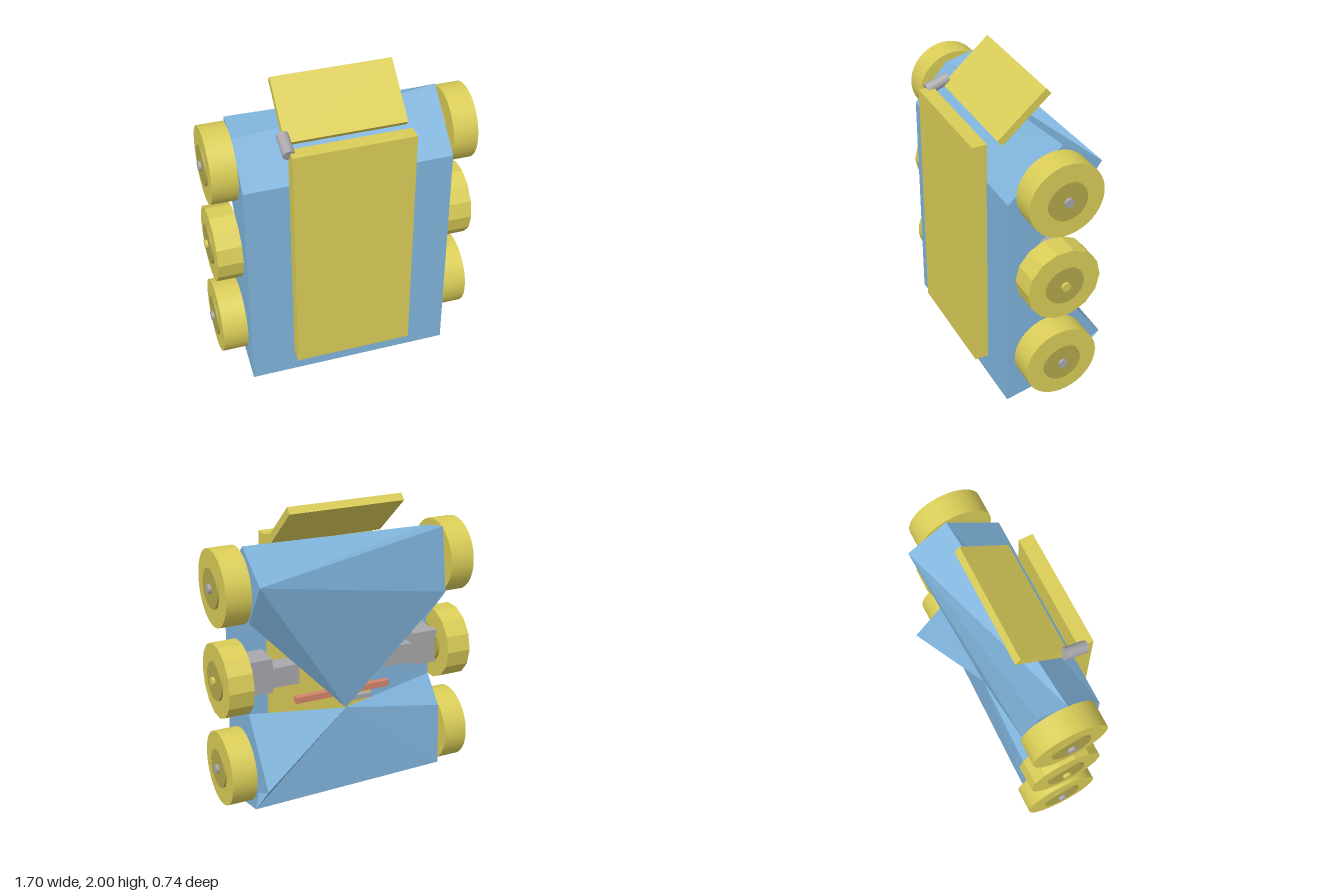
import * as THREE from 'three';

const mat = (name, color, side = THREE.FrontSide) => {
  const m = new THREE.MeshStandardMaterial({ color, side });
  m.name = name;
  return m;
};

// Gives every face its own normal
function faceted(geometry) {
  const g = geometry.index ? geometry.toNonIndexed() : geometry;
  g.computeVertexNormals();
  return g;
}

export function createModel() {
  const model = new THREE.Group();
  model.name = 'rover';
  const yellow = mat('yellow', 0xdacd58);
  const olive = mat('olive', 0xb3a84b);
  const blue = mat('blue', 0x80b4dc, THREE.DoubleSide);
  const grey = mat('grey', 0xa8a8ac);
  const orange = mat('orange', 0xd4846c);

  const add = (name, geometry, material, x, y, z, parent = model) => {
    const mesh = new THREE.Mesh(geometry, material);
    mesh.name = name;
    mesh.position.set(x, y, z);
    parent.add(mesh);
    return mesh;
  };
  const box = (name, w, h, d, material, x, y, z) =>
    add(name, new THREE.BoxGeometry(w, h, d), material, x, y, z);

  // Hull: two notched side walls joined by broad facets meeting at a pinched point
  const left = [[0, 0.28], [1.48, 0.28], [1.785, -0.06], [1.61, -0.32], [1.33, -0.13],
    [1.15, 0.08], [0.72, -0.08], [0.32, -0.37], [0.24, -0.21], [0.09, -0.15]]
    .map(([y, z]) => new THREE.Vector3(0.645, y, z));
  const right = [[0, 0.28], [1.48, 0.28], [1.72, 0.06], [1.76, -0.13], [1.35, -0.19],
    [1.1, 0.04], [0.72, 0], [0.55, -0.15], [0.14, -0.17]]
    .map(([y, z]) => new THREE.Vector3(-0.652, y, z));
  const pinch = new THREE.Vector3(0.02, 0.67, -0.15);
  const points = [];
  const face = (...c) => {
    for (let i = 1; i < c.length - 1; i++) points.push(c[0], c[i], c[i + 1]);
  };
  for (const [wall, flip] of [[left, false], [right, true]]) {
    const outline = wall.map((p) => new THREE.Vector2(p.z, p.y));
    for (const [a, b, c] of THREE.ShapeUtils.triangulateShape(outline, [])) {
      const t = [wall[a], wall[b], wall[c]];
      const n = t[1].clone().sub(t[0]).cross(t[2].clone().sub(t[0]));
      if ((n.x < 0) !== flip) t.reverse();
      face(...t);
    }
  }
  const L = left, R = right;
  face(R[0], L[0], L[1], R[1]); // front
  face(R[1], L[1], L[2], R[2]); // sloping roof
  face(R[2], L[2], L[3], R[3]); // roof behind the ridge
  face(L[3], R[4], R[3]); // upper back
  face(L[3], pinch, R[4]);
  face(L[3], L[4], pinch);
  face(L[6], L[7], pinch); // lower back
  face(L[7], L[9], pinch);
  face(L[9], R[8], pinch);
  face(R[8], R[7], pinch);
  face(R[7], R[6], pinch);
  face(L[0], R[0], R[8], L[9]); // underside
  add('hull', faceted(new THREE.BufferGeometry().setFromPoints(points)), blue, 0, 0, 0);

  // Front panel, tilted flap and its hinge
  box('frontPanel', 0.75, 1.58, 0.092, yellow, 0, 0.942, 0.322);
  box('flap', 0.75, 0.05, 0.405, yellow, 0, 1.845, 0.04).rotation.x = 0.71;
  add('hinge', new THREE.CylinderGeometry(0.037, 0.037, 0.15, 20), grey, -0.38, 1.742, 0.243)
    .rotation.x = -1.25;

  // Wheels: three on each side, the middle pair coarser
  for (const side of [-1, 1]) {
    [0.35, 0.945, 1.535].forEach((y, i) => {
      const middle = i === 1;
      const wheel = new THREE.Group();
      wheel.name = (side > 0 ? 'left' : 'right') + ['Lower', 'Middle', 'Upper'][i] + 'Wheel';
      wheel.position.set(0, y, 0);
      const disc = (name, r, x0, x1, material, sides) => {
        const g = new THREE.CylinderGeometry(r, r, x1 - x0, sides);
        g.rotateZ(Math.PI / 2);
        add(name, middle && name === 'tyre' ? faceted(g) : g, material,
          side * (x0 + x1) / 2, 0, 0, wheel);
      };
      disc('tyre', 0.237, 0.662, 0.82, yellow, middle ? 14 : 40);
      disc('hub', 0.124, 0.645, 0.832, olive, 32);
      disc('axle', 0.029, 0.6, 0.85, middle ? yellow : grey, middle ? 8 : 20);
      model.add(wheel);
    });

    // Stepped mounts for the middle wheels
    box('outerMount', 0.17, 0.22, 0.18, grey, side * 0.57, 0.95, 0);
    box('innerMount', 0.2, 0.13, 0.13, grey, side * 0.4, 0.92, 0);
  }

  // Rods in the waist
  box('crossRod', 0.64, 0.04, 0.04, orange, 0.03, 0.77, -0.11);
  box('shortRod', 0.22, 0.03, 0.03, grey, -0.06, 0.71, -0.11);
  return model;
}
